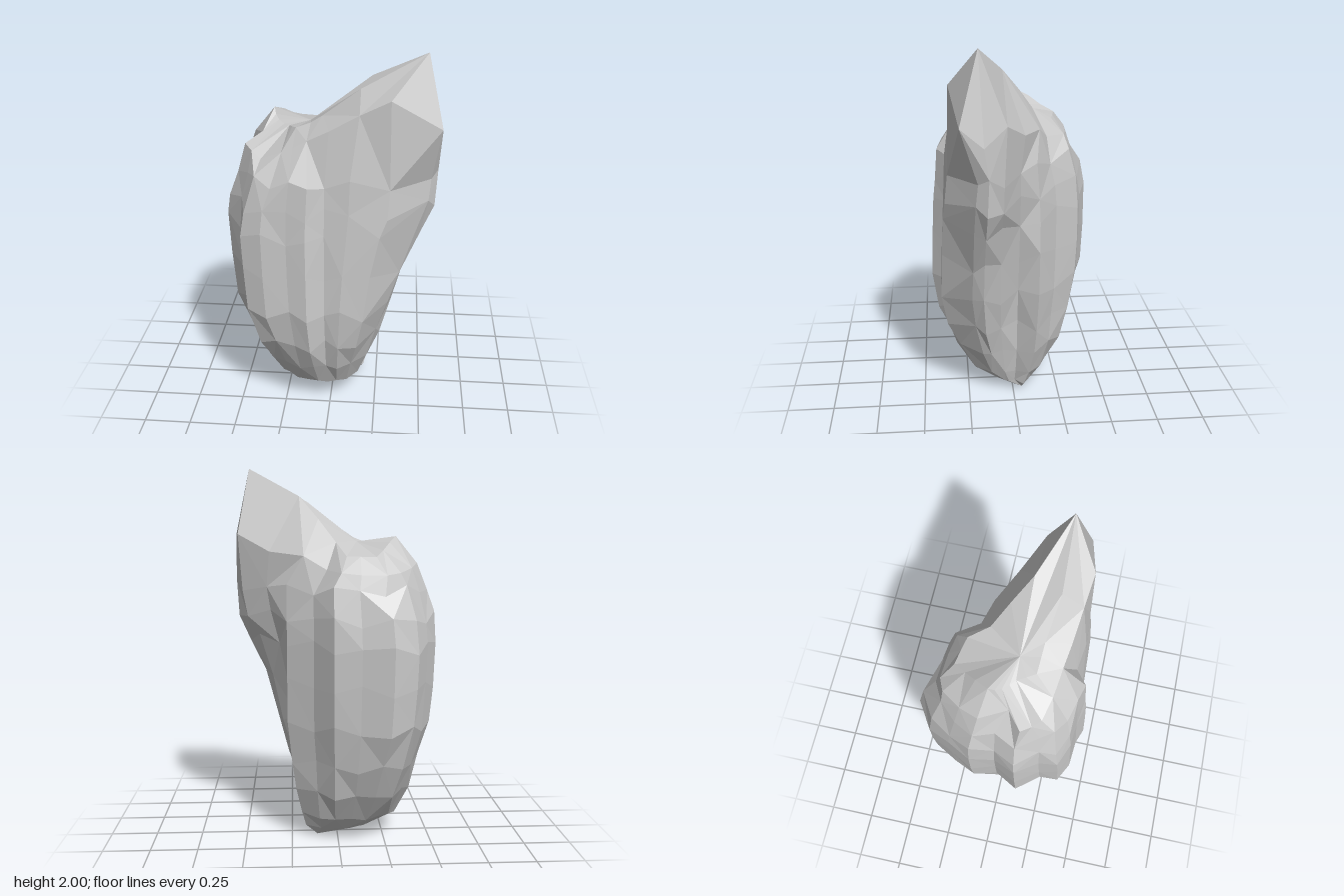
import * as THREE from 'three';

// Plan outline [x, z] at the widest height, running from the left side round by the front
const OUTLINE = [
  [0.47, 0.17], [0.44, 0.23], [0.26, 0.39], [0.09, 0.39], [-0.02, 0.37], [-0.11, 0.44],
  [-0.21, 0.41], [-0.34, 0.40], [-0.45, 0.35], [-0.46, 0.25], [-0.55, 0.13], [-0.49, 0.01],
  [-0.52, -0.12], [-0.46, -0.24], [-0.40, -0.36], [-0.27, -0.44], [-0.11, -0.39], [0.03, -0.36],
  [0.13, -0.23], [0.27, -0.13], [0.31, -0.02], [0.42, 0.08],
];

// Body levels: height, reach towards -x, +x, -z, +z, how far ridges are worn and grooves filled
const LEVELS = [
  [0.055, 0.17, 0.14, 0.13, 0.12, 1, 0.8],
  [0.13, 0.33, 0.17, 0.21, 0.25, 1, 0.6],
  [0.28, 0.41, 0.22, 0.31, 0.34, 0.6, 0.35],
  [0.45, 0.46, 0.27, 0.38, 0.41, 0.2, 0.1],
  [0.65, 0.52, 0.33, 0.43, 0.44, 0, 0],
  [0.87, 0.54, 0.39, 0.44, 0.43, 0, 0],
  [1.08, 0.55, 0.47, 0.44, 0.42, 0, 0],
  [1.22, 0.54, 0.54, 0.42, 0.41, 0.2, 0],
  [1.37, 0.50, 0.57, 0.37, 0.40, 0.7, 0],
];

// Sloping shoulder where the sides turn into the top
const SHOULDER = [
  [0.545, 1.55, 0.17], [0.55, 1.65, 0.285], [0.30, 1.80, 0.33], [0.15, 1.72, 0.31],
  [0.0, 1.63, 0.29], [-0.11, 1.57, 0.27], [-0.18, 1.53, 0.26], [-0.24, 1.50, 0.25],
  [-0.35, 1.45, 0.22], [-0.40, 1.48, 0.18], [-0.44, 1.50, 0.13], [-0.36, 1.54, 0.06],
  [-0.42, 1.50, -0.08], [-0.38, 1.48, -0.18], [-0.31, 1.46, -0.28], [-0.24, 1.45, -0.31],
  [-0.11, 1.45, -0.30], [-0.01, 1.46, -0.28], [0.06, 1.47, -0.18], [0.18, 1.54, -0.13],
  [0.36, 1.56, -0.04], [0.53, 1.65, 0.06],
];

// Inner crest: high peak on one side, low knob on the other
const PEAK = [0.47, 2.0, 0.19];
const CREST = [
  PEAK, PEAK, PEAK, [0.15, 1.82, 0.20], [-0.04, 1.67, 0.165], [-0.10, 1.63, 0.16],
  [-0.175, 1.60, 0.155], [-0.20, 1.59, 0.11], [-0.22, 1.58, 0.065], [-0.25, 1.58, 0.04],
  [-0.28, 1.59, 0.01], [-0.30, 1.61, -0.02], [-0.31, 1.64, -0.05], [-0.27, 1.61, -0.12],
  [-0.23, 1.57, -0.18], [-0.19, 1.54, -0.245], [-0.11, 1.54, -0.23], [-0.04, 1.54, -0.215],
  [0.01, 1.61, -0.11], [0.10, 1.73, -0.03], [0.20, 1.85, 0.06], PEAK,
];

function bodyRing([y, left, right, back, front, wear, fill], row) {
  const backRight = Math.min(0.47, right * 1.5); // the rear buttress stays upright under the overhang
  return OUTLINE.map(([x, z], j) => {
    const u = x / (x < 0 ? 0.55 : 0.47), v = z / 0.44;
    const gap = 1 / Math.hypot(u, v) - 1;
    const pull = 1 + gap * (gap < 0 ? wear : fill);
    const side = x < 0 ? left : z < -0.1 ? backRight : right;
    return [
      u * pull * side,
      y + 0.03 * Math.min(1, y * 2) * Math.sin(j * 2.3 + row * 1.7), // uneven, chipped facets
      v * pull * (z < 0 ? back : front),
    ];
  });
}

function rockGeometry() {
  const rings = [...LEVELS.map(bodyRing), SHOULDER, CREST];
  const n = OUTLINE.length;
  const positions = [];
  const triangle = (a, b, c) => {
    if (a !== b && b !== c && a !== c) positions.push(...a, ...b, ...c);
  };

  // Sides, with alternating diagonals
  for (let i = 0; i < rings.length - 1; i++) {
    for (let j = 0; j < n; j++) {
      const k = (j + 1) % n;
      const a = rings[i][j], b = rings[i][k], c = rings[i + 1][j], d = rings[i + 1][k];
      if ((i + j) % 2) {
        triangle(a, c, b);
        triangle(b, c, d);
      } else {
        triangle(a, c, d);
        triangle(a, d, b);
      }
    }
  }

  // Pointed foot and hollow between the peak and the knob
  const foot = [0.11, 0, -0.05], hollow = [-0.11, 1.61, 0.06];
  const first = rings[0], last = rings[rings.length - 1];
  for (let j = 0; j < n; j++) {
    const k = (j + 1) % n;
    triangle(foot, first[j], first[k]);
    triangle(hollow, last[k], last[j]);
  }

  const geometry = new THREE.BufferGeometry();
  geometry.setAttribute('position', new THREE.Float32BufferAttribute(positions, 3));
  geometry.computeVertexNormals();
  return geometry;
}

export function createModel() {
  const stone = new THREE.MeshStandardMaterial({ color: 0xcacaca, flatShading: true });
  stone.name = 'stone grey';
  const rock = new THREE.Mesh(rockGeometry(), stone);
  rock.name = 'rock';
  const model = new THREE.Group();
  model.name = 'standingRock';
  model.add(rock);
  return model;
}
